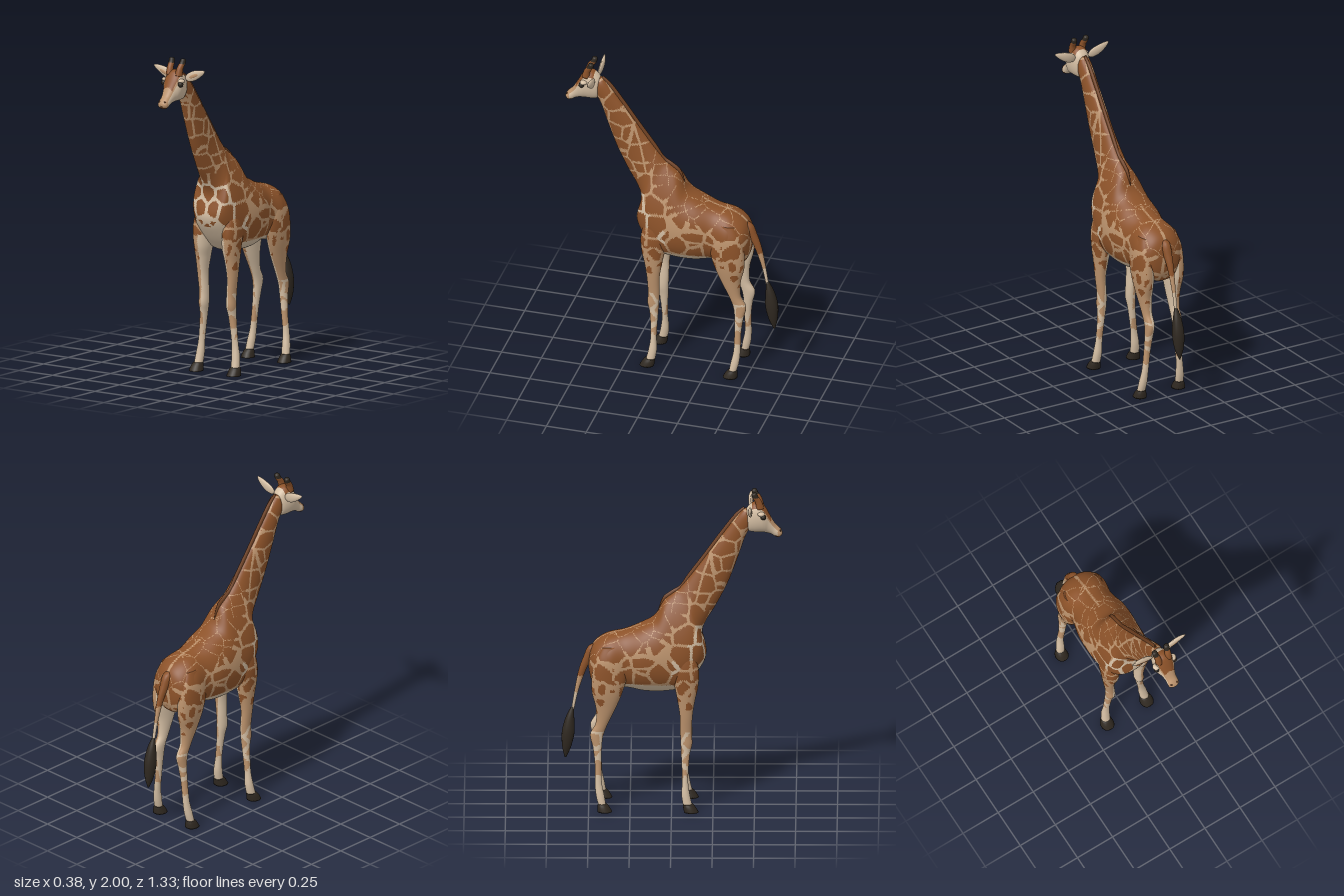
import * as THREE from 'three';

const mat = (name, color) => Object.assign(new THREE.MeshStandardMaterial({ color }), { name });

// repeatable value in 0..1 from a lattice cell
const hash = (i, j, k, n) => {
  const s = Math.sin(i * 127.1 + j * 311.7 + k * 74.7 + n * 53.3) * 43758.5453;
  return s - Math.floor(s);
};

// true inside a coat patch, false within `gap` of the border between two patches
function patch(p, size, gap) {
  const q = [Math.abs(p.x) / size + 0.5, p.y / size, p.z / size];
  const b = q.map(Math.floor), seeds = [];
  for (let i = -1; i < 2; i++) for (let j = -1; j < 2; j++) for (let k = -1; k < 2; k++) {
    const c = [b[0] + i, b[1] + j, b[2] + k];
    const s = c.map((v, n) => v + 0.1 + 0.8 * hash(...c, n));
    seeds.push([Math.hypot(s[0] - q[0], s[1] - q[1], s[2] - q[2]), s]);
  }
  const [d1, s1] = seeds.reduce((m, e) => (e[0] < m[0] ? e : m));
  return seeds.every(([d, s]) => s === s1 ||
    (d * d - d1 * d1) / (2 * Math.hypot(s[0] - s1[0], s[1] - s1[1], s[2] - s1[2])) * size > gap);
}

const cubic = (a, b, c, d, t) =>
  b + 0.5 * t * (c - a + t * (2 * a - 5 * b + 4 * c - d + t * (3 * (b - c) + d - a)));

// Smooth skin through rings [zA, yA, zB, yB, halfWidth, x, taper]: A and B are opposite
// points of the outline, taper narrows the A half. pick(centre, cos) gives a face's material.
function loft(name, rings, steps, around, mats, pick = () => 0, side = 1) {
  const pos = [], faces = mats.map(() => []), rows = (rings.length - 1) * steps;
  const at = i => rings[Math.max(0, Math.min(rings.length - 1, i))];
  for (let r = 0; r <= rows; r++) {
    const i = Math.min(Math.floor(r / steps), rings.length - 2), t = r / steps - i;
    const [zA, yA, zB, yB, w, x, taper] = [0, 1, 2, 3, 4, 5, 6].map(n =>
      cubic(at(i - 1)[n] ?? 0, at(i)[n] ?? 0, at(i + 1)[n] ?? 0, at(i + 2)[n] ?? 0, t));
    for (let a = 0; a < around; a++) {
      const th = a / around * Math.PI * 2, c = Math.cos(th), s = Math.sin(th);
      const sx = Math.sign(s) * Math.abs(s) ** 0.85 * (1 - taper * c);
      pos.push(side * (x + w * sx), (yA + yB + (yA - yB) * c) / 2, (zA + zB + (zA - zB) * c) / 2);
    }
  }
  const P = i => new THREE.Vector3().fromArray(pos, i * 3);
  const tris = [];
  for (let r = 0; r < rows; r++) for (let a = 0; a < around; a++) {
    const p = r * around + a, q = r * around + (a + 1) % around;
    tris.push([p, q, p + around, a], [q, q + around, p + around, a]);
  }
  for (let a = 1; a < around - 1; a++) { // end caps
    tris.push([0, a + 1, a, a]);
    tris.push([rows * around, rows * around + a, rows * around + a + 1, a]);
  }
  let volume = 0;
  for (const [a, b, c] of tris) volume += P(a).dot(P(b).cross(P(c)));
  for (const [a, b, c, k] of tris) {
    const centre = P(a).add(P(b)).add(P(c)).divideScalar(3);
    const m = pick(centre, Math.cos((k + 0.5) / around * Math.PI * 2));
    faces[m].push(...(volume > 0 ? [a, b, c] : [a, c, b]));
  }
  const g = new THREE.BufferGeometry();
  g.setAttribute('position', new THREE.Float32BufferAttribute(pos, 3));
  g.setIndex(faces.flat());
  let start = 0;
  faces.forEach((f, i) => { g.addGroup(start, f.length, i); start += f.length; });
  g.computeVertexNormals();
  const mesh = new THREE.Mesh(g, mats);
  mesh.name = name;
  return mesh;
}

export function createModel() {
  const group = new THREE.Group();
  const brown = mat('coat brown', 0x8c5229), tan = mat('coat tan', 0xbb926c);
  const cream = mat('cream', 0xd3bda2), dark = mat('hoof black', 0x2f2820);
  const maneBrown = mat('mane brown', 0x6d3f20);
  const coat = [brown, tan, cream];
  const add = (name, geometry, material, p, scale = [1, 1, 1]) => {
    const m = new THREE.Mesh(geometry, material);
    m.name = name;
    m.position.set(...p);
    m.scale.set(...scale);
    group.add(m);
    return m;
  };

  // trunk and neck in one skin, from rump to nape
  group.add(loft('trunkAndNeck', [
    [-0.5, 0.93, -0.5, 0.87, 0.02], [-0.485, 1.0, -0.485, 0.8, 0.085],
    [-0.45, 1.05, -0.45, 0.75, 0.13], [-0.38, 1.09, -0.37, 0.75, 0.155],
    [-0.28, 1.115, -0.27, 0.755, 0.143], [-0.18, 1.155, -0.16, 0.735, 0.165],
    [-0.1, 1.205, -0.04, 0.735, 0.168, 0, 0.08], [-0.05, 1.3, 0.07, 0.76, 0.156, 0, 0.25],
    [0.0, 1.345, 0.16, 0.86, 0.14, 0, 0.34], [0.04, 1.375, 0.21, 0.97, 0.118, 0, 0.36],
    [0.075, 1.415, 0.185, 1.1, 0.09, 0, 0.3], [0.11, 1.46, 0.21, 1.18, 0.071, 0, 0.2],
    [0.17, 1.54, 0.27, 1.28, 0.058, 0, 0.1], [0.25, 1.65, 0.34, 1.42, 0.051],
    [0.33, 1.76, 0.4, 1.58, 0.046], [0.39, 1.84, 0.44, 1.7, 0.044],
    [0.435, 1.885, 0.47, 1.76, 0.042], [0.47, 1.885, 0.49, 1.79, 0.03],
  ], 15, 132, coat, (p, c) => {
    const x = Math.abs(p.x);
    if (p.y < 0.8 && c < -0.5 && p.z > -0.42) return 2;
    if (p.y < 0.91 && x < 0.075 && p.z > 0.08) return 2;
    if (x < 0.007 && c > 0 && p.z < -0.2) return 1;
    const back = c > 0.45 && p.z < 0.15, neck = p.y > 1.25;
    if (patch(p, neck ? 0.1 : 0.115, back ? 0.0015 : neck ? 0.006 : 0.0085)) return 0;
    return c < -0.2 && p.z > 0 && p.y < 1.2 ? 2 : 1;
  }));

  // mane along the back of the neck
  group.add(loft('mane', [
    [-0.085, 1.225, -0.075, 1.2, 0.004], [-0.055, 1.318, -0.03, 1.27, 0.01],
    [-0.005, 1.362, 0.02, 1.32, 0.012], [0.05, 1.398, 0.07, 1.36, 0.012],
    [0.1, 1.472, 0.13, 1.44, 0.012], [0.2, 1.608, 0.23, 1.58, 0.011],
    [0.3, 1.748, 0.33, 1.72, 0.011], [0.38, 1.852, 0.4, 1.82, 0.011],
    [0.435, 1.9, 0.45, 1.86, 0.009],
  ], 6, 12, [maneBrown]));

  // head
  group.add(loft('head', [
    [0.445, 1.87, 0.455, 1.78, 0.02], [0.46, 1.9, 0.465, 1.748, 0.045],
    [0.5, 1.93, 0.5, 1.74, 0.06], [0.54, 1.925, 0.54, 1.74, 0.064],
    [0.565, 1.895, 0.56, 1.738, 0.058], [0.595, 1.84, 0.575, 1.735, 0.045],
    [0.625, 1.79, 0.6, 1.727, 0.036], [0.65, 1.765, 0.625, 1.712, 0.036],
    [0.665, 1.745, 0.645, 1.708, 0.031], [0.668, 1.728, 0.658, 1.715, 0.015],
  ], 8, 60, [brown, tan, cream, maneBrown], (p, c) => {
    if (p.z > 0.625 && c < -0.5) return 3;
    if (p.z > 0.64) return 1;
    if (c > 0.7 && p.z > 0.485 && p.z < 0.6) return 0;
    return c > 0.5 && p.z > 0.56 ? 1 : 2;
  }));

  // tail and its tuft
  group.add(loft('tail', [
    [-0.42, 0.97, -0.435, 1.035, 0.03], [-0.46, 0.95, -0.5, 1.01, 0.03],
    [-0.495, 0.9, -0.532, 0.94, 0.024],
    [-0.53, 0.82, -0.562, 0.85, 0.017], [-0.565, 0.71, -0.587, 0.72, 0.011],
    [-0.588, 0.6, -0.606, 0.6, 0.009],
  ], 6, 16, coat, p => (p.y > 0.82 ? 0 : p.y > 0.72 ? 1 : 2)));
  group.add(loft('tailTuft', [
    [-0.588, 0.62, -0.607, 0.62, 0.01], [-0.587, 0.55, -0.64, 0.55, 0.027],
    [-0.585, 0.46, -0.662, 0.46, 0.036], [-0.605, 0.37, -0.66, 0.37, 0.027],
    [-0.635, 0.3, -0.645, 0.3, 0.003],
  ], 6, 16, [dark]));

  const frontLeg = [
    [0.1, 1.06, 0.03, 1.06, 0.025, 0.1], [0.145, 0.97, 0.01, 0.97, 0.042, 0.108],
    [0.165, 0.88, 0.005, 0.88, 0.05, 0.11], [0.16, 0.78, 0.02, 0.78, 0.05, 0.105],
    [0.142, 0.7, 0.035, 0.7, 0.041, 0.108], [0.127, 0.6, 0.05, 0.6, 0.031, 0.11],
    [0.122, 0.49, 0.052, 0.49, 0.028, 0.102], [0.125, 0.42, 0.055, 0.42, 0.029, 0.102],
    [0.11, 0.35, 0.058, 0.35, 0.023, 0.107], [0.1, 0.2, 0.064, 0.2, 0.021, 0.123],
    [0.11, 0.11, 0.06, 0.11, 0.026, 0.132], [0.125, 0.04, 0.07, 0.04, 0.027, 0.138],
  ];
  const hindLeg = [
    [-0.32, 1.04, -0.42, 1.03, 0.025, 0.1], [-0.28, 0.95, -0.46, 0.95, 0.047, 0.106],
    [-0.27, 0.85, -0.48, 0.85, 0.054, 0.106], [-0.295, 0.75, -0.48, 0.75, 0.05, 0.105],
    [-0.335, 0.65, -0.457, 0.65, 0.04, 0.1], [-0.382, 0.55, -0.457, 0.55, 0.03, 0.096],
    [-0.41, 0.475, -0.49, 0.48, 0.027, 0.096], [-0.42, 0.4, -0.475, 0.4, 0.024, 0.1],
    [-0.422, 0.3, -0.463, 0.3, 0.02, 0.109], [-0.42, 0.18, -0.462, 0.18, 0.02, 0.122],
    [-0.405, 0.1, -0.455, 0.1, 0.025, 0.13], [-0.395, 0.04, -0.44, 0.04, 0.025, 0.136],
  ];
  const frontHoof = [[0.128, 0.05, 0.068, 0.05, 0.029, 0.138],
    [0.145, 0.03, 0.07, 0.03, 0.036, 0.14], [0.163, 0, 0.075, 0, 0.042, 0.14]];
  const hindHoof = [[-0.393, 0.05, -0.443, 0.05, 0.027, 0.134],
    [-0.375, 0.03, -0.447, 0.03, 0.034, 0.136], [-0.358, 0, -0.447, 0, 0.041, 0.136]];

  // patched thighs, tan outer shins, cream inner sides and lower legs
  const legCoat = inner => p => {
    if (Math.abs(p.x) < inner && p.y < 0.85) return 2;
    if (p.y > 0.84) return patch(p, 0.115, 0.0085) ? 0 : 1;
    if (p.y > 0.62) return patch(p, 0.08, 0.0085 + (0.84 - p.y) * 0.05) ? 0 : 1;
    return p.y > 0.5 || (p.y > 0.2 && patch(p, 0.1, 0.009 + (0.5 - p.y) * 0.03)) ? 1 : 2;
  };

  for (const s of [1, -1]) {
    const n = s > 0 ? 'left' : 'right';
    group.add(loft(n + 'FrontLeg', frontLeg, 9, 40, coat, legCoat(0.1), s));
    group.add(loft(n + 'HindLeg', hindLeg, 9, 40, coat, legCoat(0.095), s));
    group.add(loft(n + 'FrontHoof', frontHoof, 3, 20, [dark], undefined, s));
    group.add(loft(n + 'HindHoof', hindHoof, 3, 20, [dark], undefined, s));

    // horn with a dark blunt tip
    group.add(loft(n + 'Horn', [
      [0.558, 1.9, 0.51, 1.89, 0.023, 0.033], [0.543, 1.945, 0.505, 1.935, 0.019, 0.036],
      [0.522, 1.975, 0.487, 1.966, 0.018, 0.04], [0.512, 1.996, 0.482, 1.988, 0.016, 0.042],
      [0.502, 2.0, 0.49, 1.998, 0.006, 0.042],
    ], 5, 20, [brown, dark], p => (p.y > 1.968 ? 1 : 0), s));

    // eye under a heavy brow
    add(n + 'Eye', new THREE.SphereGeometry(0.017, 16, 12), dark, [s * 0.062, 1.85, 0.553]);
    add(n + 'Brow', new THREE.SphereGeometry(0.023, 16, 12), cream, [s * 0.058, 1.868, 0.541], [1, 0.6, 1]);
    add(n + 'Nostril', new THREE.SphereGeometry(0.006, 10, 8), maneBrown, [s * 0.02, 1.752, 0.655]);

    // leaf-shaped ear, rounded near the root and pointed at the tip
    const leaf = new THREE.SphereGeometry(1, 24, 16), v = leaf.attributes.position;
    for (let i = 0; i < v.count; i++) {
      const x = v.getX(i), out = (x * s + 1) / 2;
      v.setXYZ(i, x * 0.078, v.getY(i) * (0.038 - 0.02 * out), v.getZ(i) * 0.013 + 0.006 * x * x);
    }
    leaf.computeVertexNormals();
    add(n + 'Ear', leaf, cream, [s * 0.118, 1.902, 0.474]).rotation.z = s * 0.4;
    add(n + 'EarHollow', new THREE.SphereGeometry(1, 16, 12), tan, [s * 0.11, 1.897, 0.484],
      [0.042, 0.011, 0.005]).rotation.z = s * 0.4;
  }
  return group;
}
